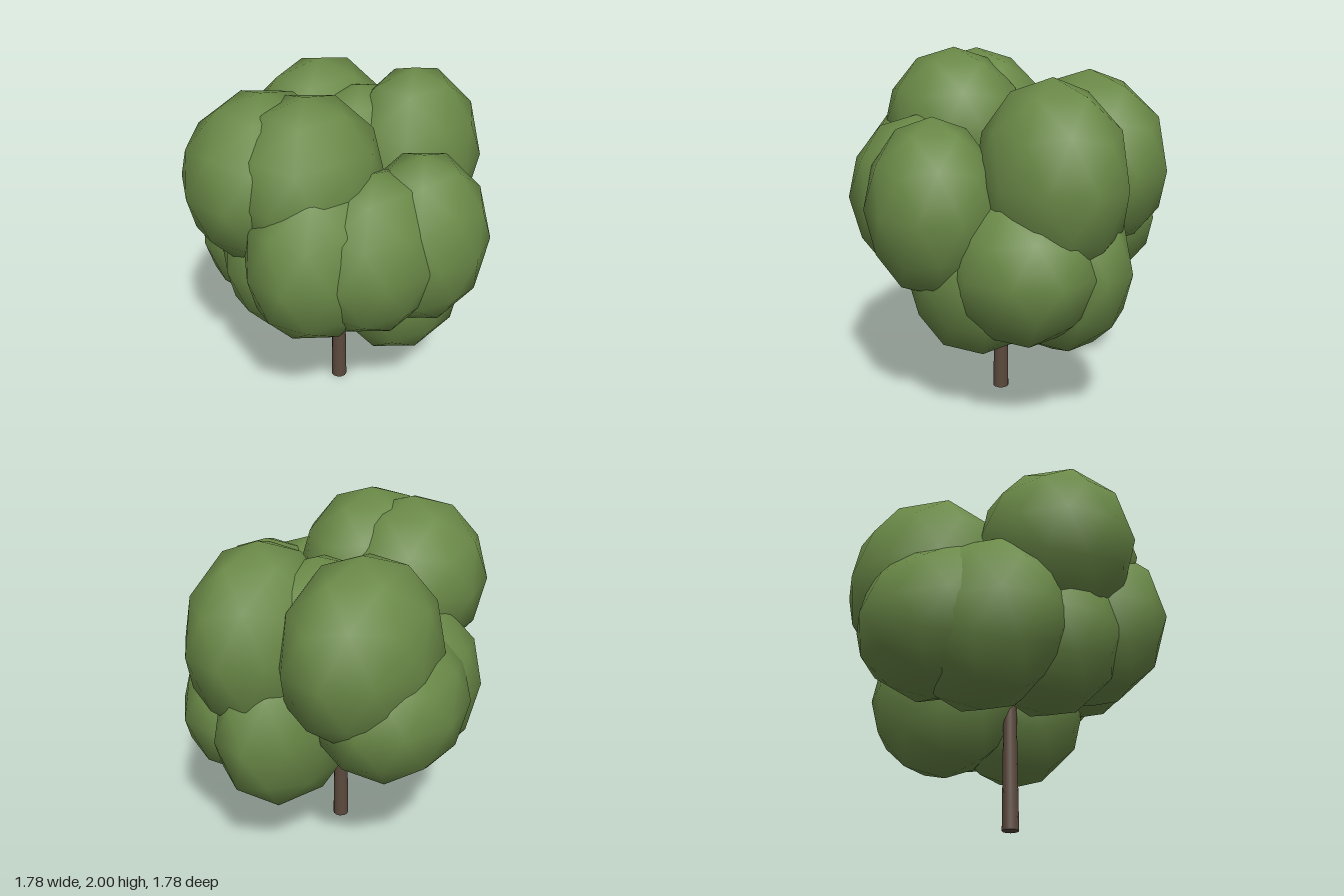
import * as THREE from 'three';

export function createModel() {
  const tree = new THREE.Group();
  tree.name = 'tree';

  const leafGreen = new THREE.MeshStandardMaterial({ color: 0x6b8a48 });
  leafGreen.name = 'leafGreen';
  const barkBrown = new THREE.MeshStandardMaterial({ color: 0x5c4a3e });
  barkBrown.name = 'barkBrown';

  // Slim tapered trunk, running up into the crown
  const trunk = new THREE.Mesh(new THREE.CylinderGeometry(0.032, 0.046, 1.1, 12), barkBrown);
  trunk.name = 'trunk';
  trunk.position.set(-0.055, 0.55, 0);
  tree.add(trunk);

  // Crown: smooth, coarse leaf clumps as [name, centre, radii]
  const clumps = [
    ['topFront', [-0.38, 1.54, 0.06], [0.44, 0.46, 0.39]],
    ['topBack', [-0.45, 1.51, -0.175], [0.453, 0.47, 0.425]],
    ['upperBack', [0.25, 1.36, -0.4], [0.494, 0.53, 0.4]],
    ['upperLeft', [0.46, 1.36, 0.115], [0.452, 0.54, 0.375]],
    ['upperCentre', [0.25, 1.35, -0.1], [0.42, 0.46, 0.36]],
    ['front', [-0.01, 1.2, 0.53], [0.39, 0.49, 0.36]],
    ['frontRight', [-0.28, 1.2, 0.42], [0.431, 0.46, 0.36]],
    ['right', [-0.46, 1.2, 0.22], [0.455, 0.495, 0.36]],
    ['lowerFront', [0.09, 0.84, 0.32], [0.42, 0.49, 0.37]],
    ['lowerFrontLeft', [0.37, 0.9, 0.26], [0.46, 0.43, 0.39]],
    ['lowerLeft', [0.37, 0.89, 0], [0.505, 0.53, 0.32]],
    ['back', [0.11, 1.05, -0.5], [0.476, 0.44, 0.39]],
    ['lowerBack', [-0.13, 1.02, -0.41], [0.49, 0.49, 0.38]],
    ['lowerRight', [-0.34, 1.03, -0.08], [0.42, 0.46, 0.38]],
  ];
  // Turned so that a corner of the ball points straight up
  const clumpGeometry = new THREE.IcosahedronGeometry(1, 1);
  clumpGeometry.rotateZ(-Math.atan(2 / (1 + Math.sqrt(5))));
  const crown = new THREE.Group();
  crown.name = 'crown';
  for (const [name, centre, radii] of clumps) {
    const clump = new THREE.Mesh(clumpGeometry, leafGreen);
    clump.name = name + 'Clump';
    clump.position.set(...centre);
    clump.scale.set(...radii);
    crown.add(clump);
  }
  tree.add(crown);
  return tree;
}
